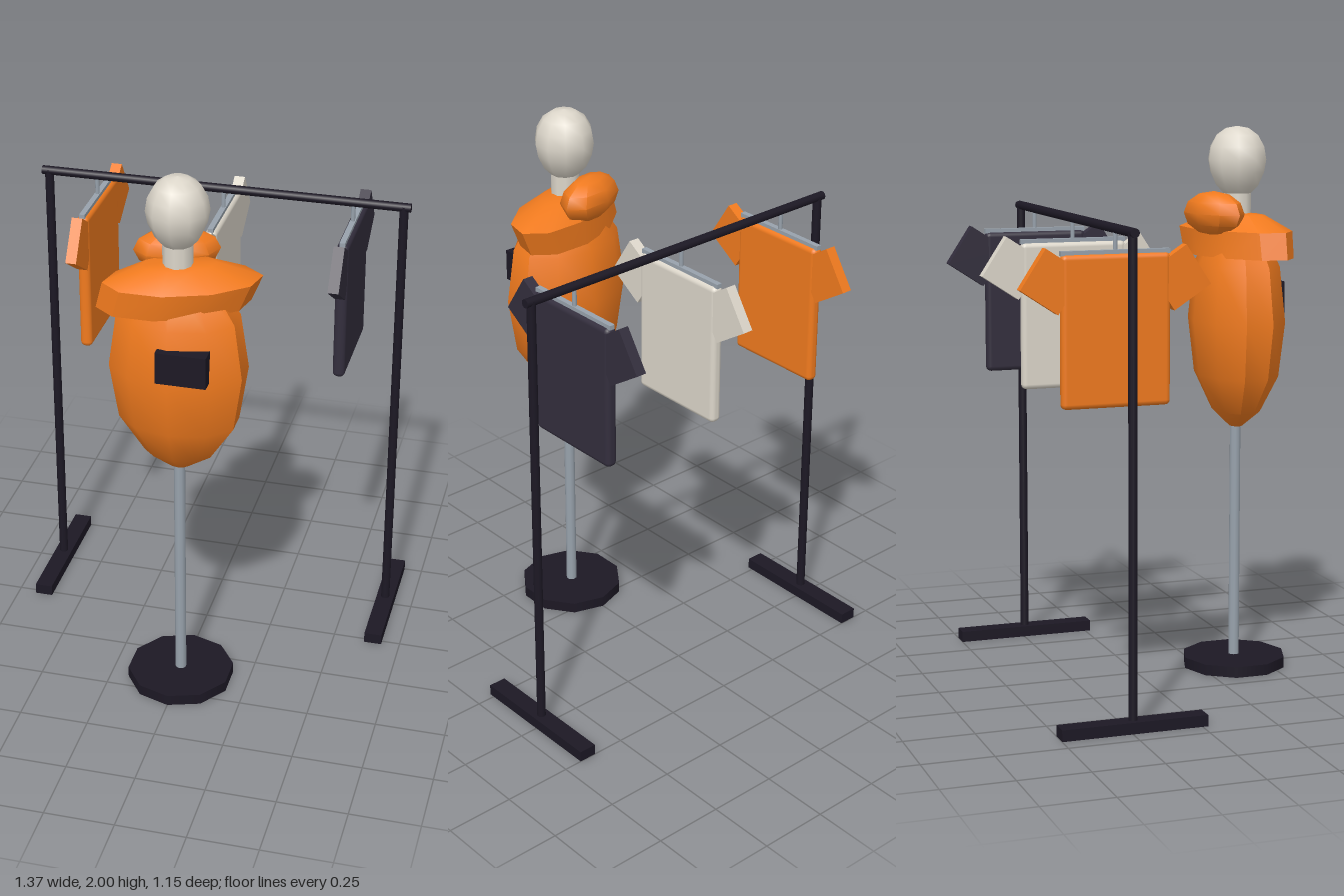
import * as THREE from 'three';
import { RoundedBoxGeometry } from 'three/addons/geometries/RoundedBoxGeometry.js';
import { toCreasedNormals } from 'three/addons/utils/BufferGeometryUtils.js';

const mat = (color) => new THREE.MeshStandardMaterial({ color });
const orange = mat(0xf07a1e), dark = mat(0x1c1824), charcoal = mat(0x332e3d);
const cream = mat(0xdcd6ca), metal = mat(0x98a2ac);
const STAND_Z = 0.384, RACK_Z = -0.24;

function add(parent, name, geometry, material, x = 0, y = 0, z = 0) {
  const mesh = new THREE.Mesh(geometry, material);
  mesh.name = name;
  mesh.position.set(x, y, z);
  parent.add(mesh);
  return mesh;
}

const rod = (r, length, sides = 10) => new THREE.CylinderGeometry(r, r, length, sides);
const lathe = (points, sides) =>
  new THREE.LatheGeometry(points.map(([r, y]) => new THREE.Vector2(r, y)), sides);

// Clothes rack: two posts with long feet and a top rail
function makeRack() {
  const rack = new THREE.Group();
  rack.name = 'clothesRack';
  for (const x of [-0.65, 0.65]) {
    add(rack, 'rackPost', rod(0.016, 1.65), dark, x, 0.865, RACK_Z);
    add(rack, 'rackFoot', new THREE.BoxGeometry(0.065, 0.04, 0.52), dark, x, 0.02, RACK_Z);
  }
  add(rack, 'rackRail', rod(0.016, 1.35), dark, 0, 1.685, RACK_Z).rotation.z = Math.PI / 2;
  return rack;
}

// Shirt on a hanger, seen edge-on from the front
function makeShirt(x, material) {
  const shirt = new THREE.Group();
  shirt.name = 'hangingShirt';
  shirt.position.set(x, 0, RACK_Z);
  add(shirt, 'shirtBody', new RoundedBoxGeometry(0.044, 0.52, 0.385, 2, 0.018), material, 0, 1.342, 0);
  for (const side of [-1, 1]) {
    const sleeve = add(shirt, 'shirtSleeve', new THREE.BoxGeometry(0.039, 0.163, 0.157),
      material, 0, 1.515, side * 0.226);
    sleeve.rotation.x = -side * 0.58;
  }
  add(shirt, 'hangerBar', new THREE.BoxGeometry(0.02, 0.016, 0.385), metal, 0, 1.606, 0);
  add(shirt, 'hangerHook', rod(0.008, 0.09, 8), metal, 0, 1.645, 0);
  return shirt;
}

// Gathered collar: an oval band, its lower and upper rims slightly offset sideways
function collarGeometry() {
  const geo = lathe([[0.6, 1.53], [0.97, 1.535], [1.0, 1.63], [0.48, 1.685], [0, 1.69]], 10);
  const p = geo.attributes.position, a = 0.35;
  for (let i = 0; i < p.count; i++) {
    const u = p.getZ(i) * 0.27, v = p.getX(i) * 0.135, y = p.getY(i);
    const shift = y < 1.6 ? -0.016 : y < 1.65 ? 0.016 : 0;
    p.setXYZ(i, u * Math.cos(a) + v * Math.sin(a) + shift, y, v * Math.cos(a) - u * Math.sin(a));
  }
  // undo the winding flip caused by swapping the axes
  const index = geo.index.array;
  for (let i = 0; i < index.length; i += 3) [index[i], index[i + 1]] = [index[i + 1], index[i]];
  return toCreasedNormals(geo, 0.6);
}

// Display bust: base, pole, hooded top, neck and head
function makeBust() {
  const bust = new THREE.Group();
  bust.name = 'displayBust';
  bust.position.z = STAND_Z;
  add(bust, 'bustBase', rod(0.193, 0.04), dark, 0, 0.02, 0);
  add(bust, 'bustPole', rod(0.02, 0.95), metal, 0, 0.5, 0);

  const torso = lathe([[0, 0.902], [0.14, 0.907], [0.5, 0.965], [0.87, 1.1], [1, 1.3],
    [0.88, 1.5], [0.5, 1.64], [0, 1.695]], 10);
  torso.scale(0.245, 1, 0.165);
  add(bust, 'hoodieTorso', toCreasedNormals(torso, 0.7), orange);
  add(bust, 'hoodieCollar', collarGeometry(), orange);

  const hood = new THREE.SphereGeometry(1, 8, 6);
  hood.scale(0.148, 0.08, 0.08);
  add(bust, 'hoodieHood', toCreasedNormals(hood, 0.8), orange, -0.03, 1.69, -0.1).rotation.y = 0.3;
  add(bust, 'chestPatch', new THREE.BoxGeometry(0.175, 0.115, 0.063), dark, 0.052, 1.377, 0.145);

  add(bust, 'neck', rod(0.052, 0.16), cream, 0, 1.69, 0);
  const head = lathe([[0, 1.745], [0.045, 1.752], [0.078, 1.787], [0.1, 1.835], [0.108, 1.88],
    [0.1, 1.927], [0.077, 1.968], [0.043, 1.992], [0, 2]], 10);
  add(bust, 'head', head, cream);
  return bust;
}

export function createModel() {
  const model = new THREE.Group();
  model.name = 'clothingDisplay';
  model.add(makeRack(), makeBust());
  [[-0.47, orange], [0, cream], [0.47, charcoal]].forEach(([x, m]) => model.add(makeShirt(x, m)));
  return model;
}
